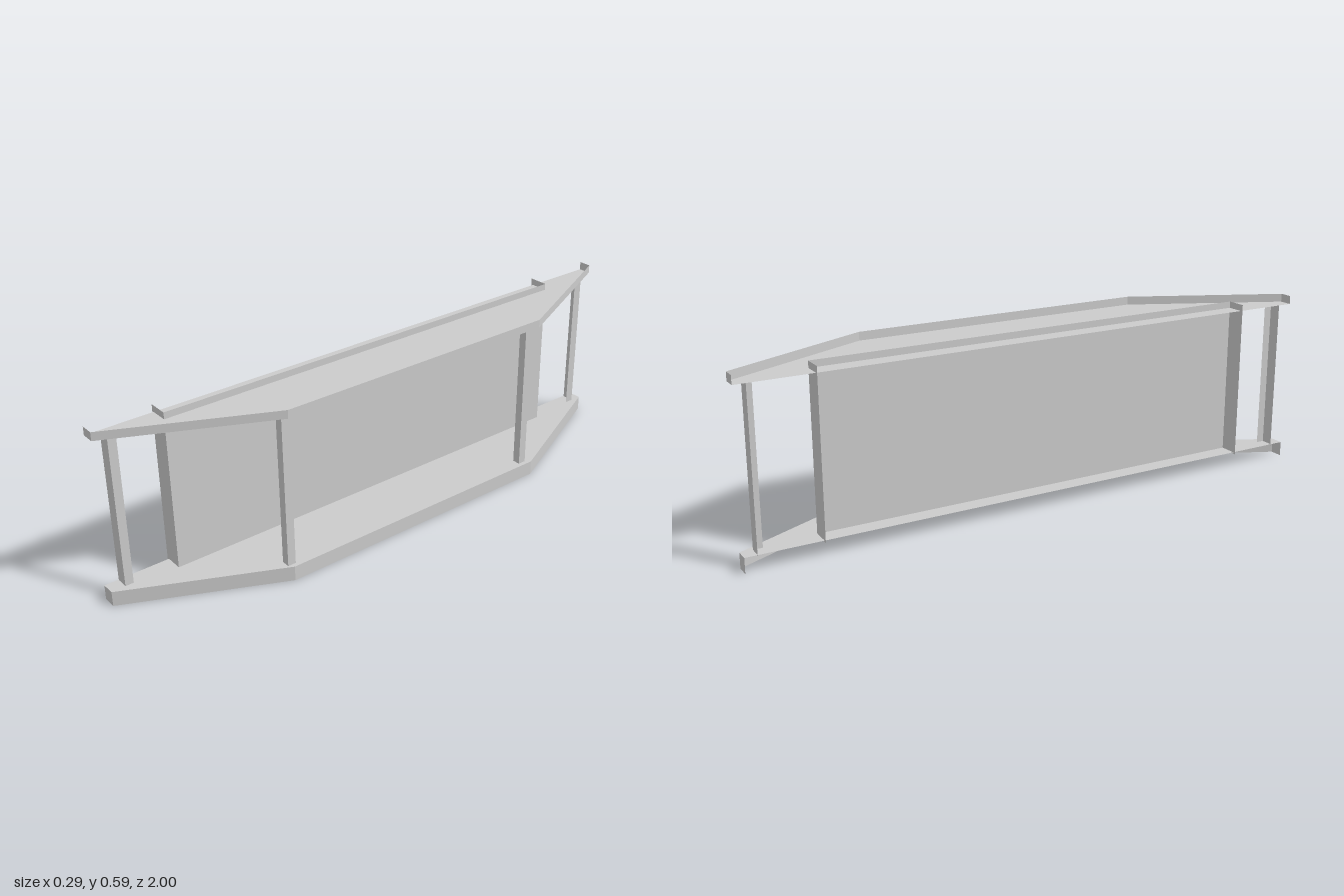
import * as THREE from 'three';

const material = new THREE.MeshStandardMaterial({ color: 0xcccccc, flatShading: true, side: THREE.DoubleSide });

// Plan of the shelf boards as [x, z]; the long back edge stays open
const outline = [[-0.137, 1], [-0.093, 1], [0.143, 0.505], [0.143, -0.505], [-0.093, -1], [-0.137, -1]];

// Upright sheets that follow a path of [x, z] points
function walls(name, path, y0, y1) {
  const group = new THREE.Group();
  group.name = name;
  for (let i = 0; i < path.length - 1; i++) {
    const [x0, z0] = path[i];
    const [x1, z1] = path[i + 1];
    const geometry = new THREE.PlaneGeometry(Math.hypot(x1 - x0, z1 - z0), y1 - y0);
    geometry.rotateY(Math.atan2(z0 - z1, x1 - x0));
    geometry.translate((x0 + x1) / 2, (y0 + y1) / 2, (z0 + z1) / 2);
    const mesh = new THREE.Mesh(geometry, material);
    mesh.name = name + 'Side';
    group.add(mesh);
  }
  return group;
}

// Thin board with a rim between y0 and y1
function board(name, sheetY, y0, y1) {
  const group = walls(name, outline, y0, y1);
  const shape = new THREE.Shape(outline.map(([x, z]) => new THREE.Vector2(x, z)));
  const sheet = new THREE.Mesh(new THREE.ShapeGeometry(shape).rotateX(Math.PI / 2), material);
  sheet.position.y = sheetY;
  sheet.name = name + 'Sheet';
  group.add(sheet);
  return group;
}

export function createModel() {
  const model = new THREE.Group();
  model.name = 'shelfUnit';

  // Boards: the lower rim hangs down, the upper rim stands up
  model.add(board('bottomShelf', 0.05, 0, 0.05));
  model.add(board('topShelf', 0.56, 0.56, 0.588));

  // Back panel with folded ends, open behind
  model.add(walls('backPanel', [[-0.145, 0.78], [-0.078, 0.78], [-0.078, -0.757], [-0.145, -0.757]], 0.045, 0.582));

  // Angled end posts
  for (const [name, outer, inner] of [['frontEndPost', 0.953, 0.925], ['rearEndPost', -0.96, -0.93]]) {
    model.add(walls(name, [[-0.135, outer], [-0.094, outer], [-0.094, inner]], 0.045, 0.56));
  }

  // Posts at the outer corners
  for (const [name, z] of [['frontCornerPost', 0.505], ['rearCornerPost', -0.475]]) {
    const post = new THREE.Mesh(new THREE.BoxGeometry(0.028, 0.515, 0.028), material);
    post.position.set(0.114, 0.3025, z);
    post.name = name;
    model.add(post);
  }
  return model;
}
